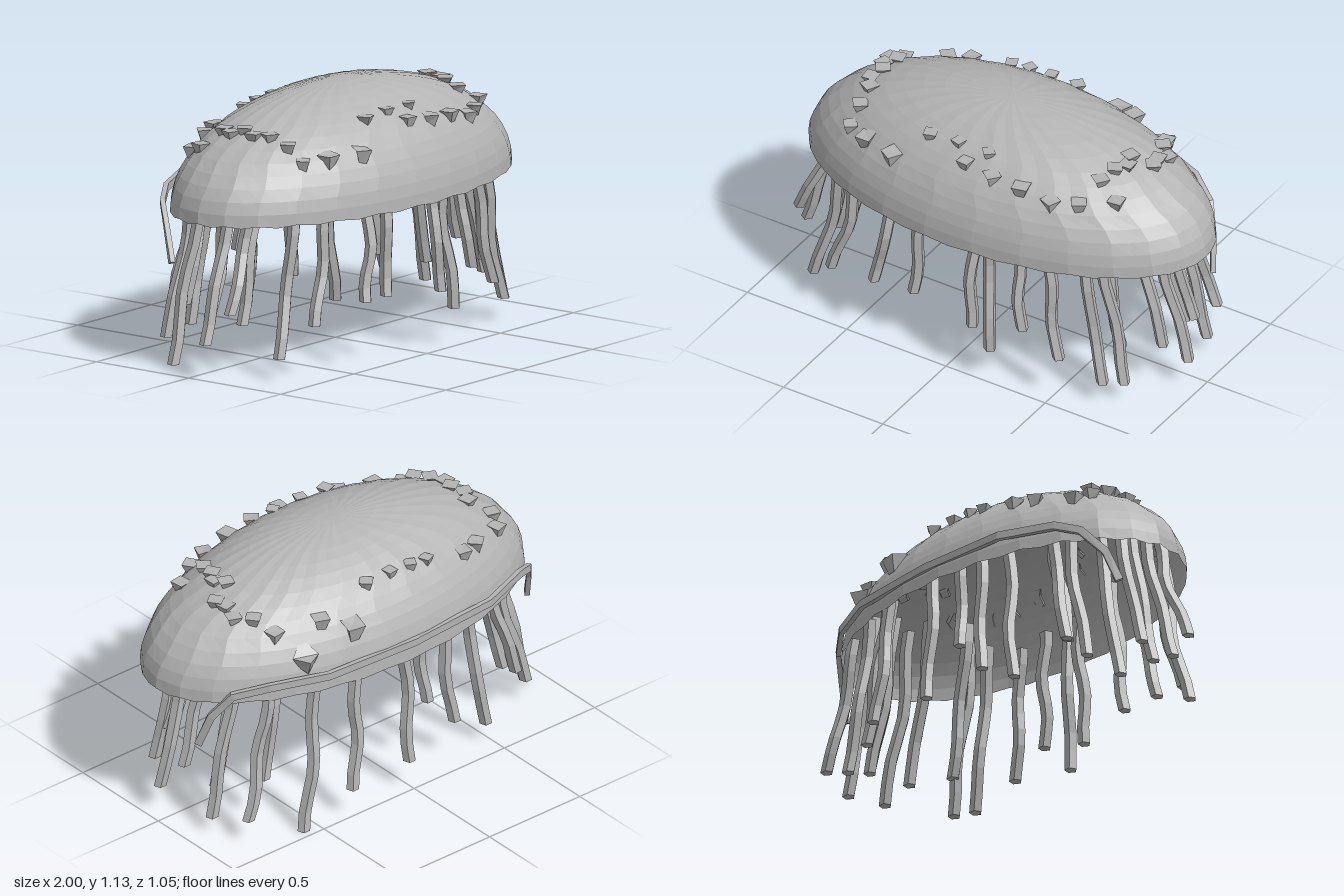
import * as THREE from 'three';

const CX = 0.025, CZ = 0.012, RX = 0.975, RZ = 0.515, BASE = 0.67, H = 0.47;

const grey = new THREE.MeshStandardMaterial({ color: 0xb4b4b4, flatShading: true, side: THREE.DoubleSide });
grey.name = 'soft grey';

function add(parent, name, geometry) {
  const mesh = new THREE.Mesh(geometry, grey);
  mesh.name = name;
  parent.add(mesh);
  return mesh;
}

function addGroup(parent, name) {
  const group = new THREE.Group();
  group.name = name;
  parent.add(group);
  return group;
}

// Height of the bell surface above a point
function bellHeight(x, z) {
  const u = (x - CX) / RX, v = (z - CZ) / RZ;
  return BASE + H * Math.sqrt(Math.max(0, 1 - u * u - v * v));
}

// Open oval bell with faint pleats that sway towards the crown, and a scalloped rim
function bellGeometry() {
  const g = new THREE.SphereGeometry(1, 52, 14, 0, Math.PI * 2, 0, Math.PI / 2);
  const p = g.attributes.position;
  for (let i = 0; i < p.count; i++) {
    const x = p.getX(i), y = p.getY(i), z = p.getZ(i);
    const r = Math.hypot(x, z), a = Math.atan2(z, x);
    const pleat = 0.005 * r * Math.cos(a * 26);
    const sway = a + 0.05 * y * Math.sin(y * 14);
    const rim = y < 0.01 ? pleat : 0;
    const k = r * (1 + 0.6 * pleat);
    p.setXYZ(i, CX + RX * k * Math.cos(sway), BASE + H * y + rim + pleat * 0.6 * y, CZ + RZ * k * Math.sin(sway));
  }
  g.computeVertexNormals();
  return g;
}

// Five-sided tentacle hanging from the inner wall, flaring outward with a slight wave
function tentacleGeometry([tx, ty, tz], i) {
  const g = new THREE.CylinderGeometry(0.029, 0.028, 1, 5, 8);
  const p = g.attributes.position;
  const rx = CX + (tx - CX) * 0.82, rz = CZ + (tz - CZ) * 0.91;
  const top = Math.max(0.7, bellHeight(CX + (rx - CX) * 1.09, CZ + (rz - CZ) * 1.09) - 0.03);
  for (let k = 0; k < p.count; k++) {
    const t = 0.5 - p.getY(k);
    const s = 0.6 * t + 0.4 * t * t;
    const wave = 0.018 * Math.sin(t * 7 + i * 1.7) * Math.sin(Math.PI * t);
    p.setXYZ(k,
      p.getX(k) + rx + (tx - rx) * s + wave * Math.cos(i * 2.1),
      top + (ty - top) * t,
      p.getZ(k) + rz + (tz - rz) * s + wave * Math.sin(i * 2.1));
  }
  g.computeVertexNormals();
  return g;
}

// Upright tapered wedge whose inner side is tucked just under the bell surface
function bumpGeometry(x, z, size, turn) {
  const g = new THREE.CylinderGeometry(0.046, 0.022, 0.055, 4, 1);
  const out = Math.atan2((x - CX) / RX ** 2, (z - CZ) / RZ ** 2);
  g.rotateY(out + turn).scale(size, size, size);
  g.translate(x + 0.008 * Math.sin(out), bellHeight(x, z) - 0.01 * size, z + 0.008 * Math.cos(out));
  const p = g.attributes.position;
  for (let k = 0; k < p.count; k++) {
    p.setY(k, Math.max(p.getY(k), bellHeight(p.getX(k), p.getZ(k)) - 0.008));
  }
  g.computeVertexNormals();
  return g;
}

// Rectangular strap swept along a bent path
function strapGeometry(points, height, depth) {
  const pos = [], index = [];
  points.forEach(([x, y, z], i) => {
    const a = points[Math.max(i - 1, 0)], b = points[Math.min(i + 1, points.length - 1)];
    const dir = new THREE.Vector3(b[0] - a[0], b[1] - a[1], b[2] - a[2]).normalize();
    const out = new THREE.Vector3((x - CX) / RX ** 2, 0, (z - CZ) / RZ ** 2);
    out.addScaledVector(dir, -out.dot(dir)).normalize();
    const up = new THREE.Vector3().crossVectors(out, dir);
    for (const [u, v] of [[-1, -1], [1, -1], [1, 1], [-1, 1]]) {
      const c = new THREE.Vector3(x, y, z).addScaledVector(out, u * depth / 2).addScaledVector(up, v * height / 2);
      pos.push(c.x, c.y, c.z);
    }
    if (i) for (let k = 0; k < 4; k++) {
      const q = (i - 1) * 4, n = (k + 1) % 4;
      index.push(q + k, q + 4 + k, q + n, q + n, q + 4 + k, q + 4 + n);
    }
  });
  const e = (points.length - 1) * 4;
  index.push(0, 1, 2, 0, 2, 3, e, e + 2, e + 1, e, e + 3, e + 2);
  const g = new THREE.BufferGeometry();
  g.setAttribute('position', new THREE.Float32BufferAttribute(pos, 3));
  g.setIndex(index);
  g.computeVertexNormals();
  return g;
}

export function createModel() {
  const model = new THREE.Group();
  model.name = 'jellyfish';
  add(model, 'bell', bellGeometry());

  // Tentacle tips
  const tips = [
    [-0.97, 0.16, 0.07], [-0.94, 0.3, 0.18], [-0.9, 0.03, -0.16], [-0.81, 0.12, -0.27], [-0.78, 0.1, 0.32],
    [-0.72, 0.22, -0.31], [-0.64, 0.23, 0.4], [-0.48, 0.1, -0.4], [-0.38, 0.3, 0.47], [-0.29, 0.2, -0.42],
    [-0.2, 0.29, 0.44], [-0.14, 0.36, -0.42], [0.01, 0.15, -0.48], [0.12, 0.26, 0.48], [0.21, 0.17, 0.48],
    [0.34, 0.15, -0.5], [0.36, 0.32, 0.46], [0.57, 0.01, -0.45], [0.53, 0.22, 0.44], [0.65, 0.22, -0.28],
    [0.7, 0.11, 0.36], [0.73, 0.25, 0.26], [0.77, 0.1, 0.3], [0.81, 0.12, -0.37], [0.87, 0.08, -0.2],
    [0.94, 0.14, 0.06], [0.9, 0.28, -0.05], [0.85, 0.22, 0.12], [0.8, 0.18, -0.14], [-0.85, 0.25, 0],
    [-0.78, 0.22, 0.12], [-0.68, 0.24, -0.27],
  ];
  const tentacles = addGroup(model, 'tentacles');
  tips.forEach((t, i) => add(tentacles, 'tentacle', tentacleGeometry(t, i)));

  // Small wedge bumps on the bell, as [x, z, size]
  const bumps = [
    [-0.62, -0.1, 1], [-0.65, -0.04, 1], [-0.62, 0.01, 1], [-0.64, 0.07, 1], [-0.61, 0.13, 1], [-0.6, 0.22, 1],
    [-0.7, -0.16, 1], [-0.67, -0.23, 1], [-0.5, -0.3, 1], [-0.4, -0.33, 1], [-0.2, -0.33, 0.8], [-0.11, -0.33, 0.8],
    [0, -0.33, 0.8], [0.13, -0.33, 0.9], [0.28, -0.42, 1.3], [0.52, -0.4, 1.3], [0.4, -0.35, 1.1], [0.6, -0.29, 1],
    [0.64, -0.2, 1], [0.7, -0.14, 1], [0.69, -0.08, 1], [0.7, -0.03, 1], [0.61, 0.01, 1], [0.63, 0.06, 1],
    [0.6, 0.11, 1], [0.58, 0.19, 1], [0.68, 0.22, 1], [0.55, 0.31, 1], [0.44, 0.36, 1], [0.3, 0.37, 1.1],
    [0.16, 0.38, 1], [0.02, 0.37, 0.9], [0.1, 0.31, 0.8], [-0.05, 0.31, 0.8], [-0.19, 0.31, 0.9],
    [-0.33, 0.4, 1.1], [-0.49, 0.35, 1.1], [-0.6, 0.3, 0.9],
  ];
  const bumpGroup = addGroup(model, 'bumps');
  bumps.forEach(([x, z, size], i) => add(bumpGroup, 'bump', bumpGeometry(x, z, size, (i * 0.7) % 1.5)));

  // Strap around the back, with loose drooping ends
  add(model, 'backStrap', strapGeometry([
    [-0.9, 0.47, -0.17], [-0.87, 0.6, -0.22], [-0.8, 0.7, -0.3], [-0.7, 0.74, -0.36], [-0.45, 0.75, -0.465],
    [0, 0.75, -0.5], [0.45, 0.75, -0.475], [0.7, 0.745, -0.38], [0.83, 0.71, -0.29], [0.89, 0.6, -0.22],
    [0.92, 0.45, -0.17],
  ], 0.034, 0.022));

  return model;
}
